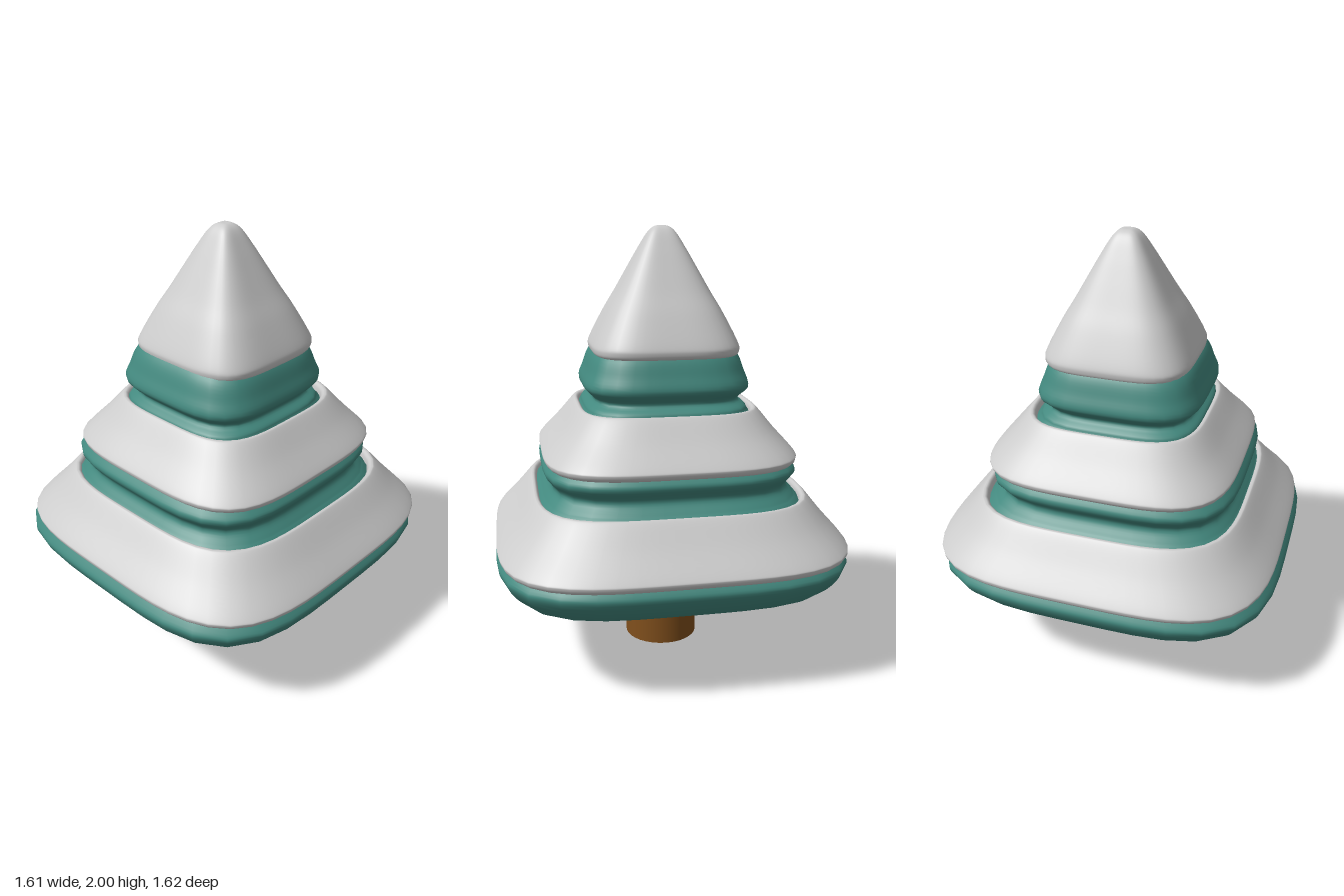
import * as THREE from 'three';
import { mergeVertices } from 'three/addons/utils/BufferGeometryUtils.js';

const POWER = 3.9; // squareness of the rounded-square plan

// Smooth solid with a rounded-square plan, from a [half width, height] profile running upwards
function squareLathe(profile, sides, samples) {
  const curve = new THREE.SplineCurve(profile.map(([r, y]) => new THREE.Vector2(r, y)));
  const points = curve.getPoints(samples);
  points.forEach((p) => { p.x = Math.max(p.x, 0); });
  let geo = new THREE.LatheGeometry(points, sides);
  const pos = geo.attributes.position;
  for (let i = 0; i < pos.count; i++) {
    const x = pos.getX(i), z = pos.getZ(i), r = Math.hypot(x, z);
    if (r < 1e-6) continue;
    const k = Math.pow(Math.abs(x / r) ** POWER + Math.abs(z / r) ** POWER, -1 / POWER);
    pos.setX(i, x * k);
    pos.setZ(i, z * k);
  }
  geo.deleteAttribute('uv');
  geo.deleteAttribute('normal');
  geo = mergeVertices(geo, 1e-5);
  geo.computeVertexNormals();
  return geo;
}

export function createModel() {
  const tree = new THREE.Group();
  tree.name = 'snowyTree';
  const snowMat = new THREE.MeshStandardMaterial({ color: 0xcccccc, side: THREE.DoubleSide });
  const leafMat = new THREE.MeshStandardMaterial({ color: 0x43897f });
  const barkMat = new THREE.MeshStandardMaterial({ color: 0x804f1c });

  const add = (name, geo, mat, y, z) => {
    const mesh = new THREE.Mesh(geo, mat);
    mesh.name = name;
    mesh.position.set(0, y, z);
    tree.add(mesh);
  };

  // Round trunk
  add('trunk', new THREE.CylinderGeometry(0.175, 0.175, 0.355, 32), barkMat, 0.1775, 0.015);

  // Green body: three stacked tiers with pinched necks
  add('foliage', squareLathe([
    [0, 0.365], [0.3, 0.365], [0.52, 0.37], [0.65, 0.385], [0.735, 0.42], [0.8, 0.51], [0.785, 0.565],
    [0.69, 0.68], [0.6, 0.785], [0.575, 0.812], [0.545, 0.86], [0.58, 0.92], [0.56, 0.965],
    [0.47, 1.07], [0.385, 1.17], [0.368, 1.2], [0.335, 1.235], [0.38, 1.29], [0.36, 1.36],
    [0.33, 1.435], [0.27, 1.5], [0.12, 1.7], [0, 1.75],
  ], 40, 110), leafMat, 0, 0.01);

  // Snow collars with rolled rims: [name, outer half width, bottom, rim half width, top]
  for (const [name, outer, bottom, rim, top] of [
    ['lowerSnow', 0.8, 0.563, 0.615, 0.81],
    ['middleSnow', 0.578, 0.96, 0.4, 1.197],
  ]) {
    add(name, squareLathe([
      [outer - 0.07, bottom + 0.008], [outer - 0.02, bottom], [outer, bottom + 0.025],
      [outer - 0.012, bottom + 0.05], [(outer + rim) / 2, (bottom + top) / 2 + 0.018],
      [rim + 0.02, top - 0.015], [rim, top], [rim - 0.014, top - 0.01], [rim - 0.02, top - 0.035],
    ], 64, 56), snowMat, 0, -0.007);
  }

  // Pointed snow cap
  add('snowCap', squareLathe([
    [0.26, 1.44], [0.318, 1.43], [0.335, 1.455], [0.325, 1.495], [0.265, 1.615], [0.21, 1.71],
    [0.155, 1.81], [0.105, 1.9], [0.062, 1.97], [0.03, 1.997], [0, 2],
  ], 64, 60), snowMat, 0, -0.005);

  return tree;
}
